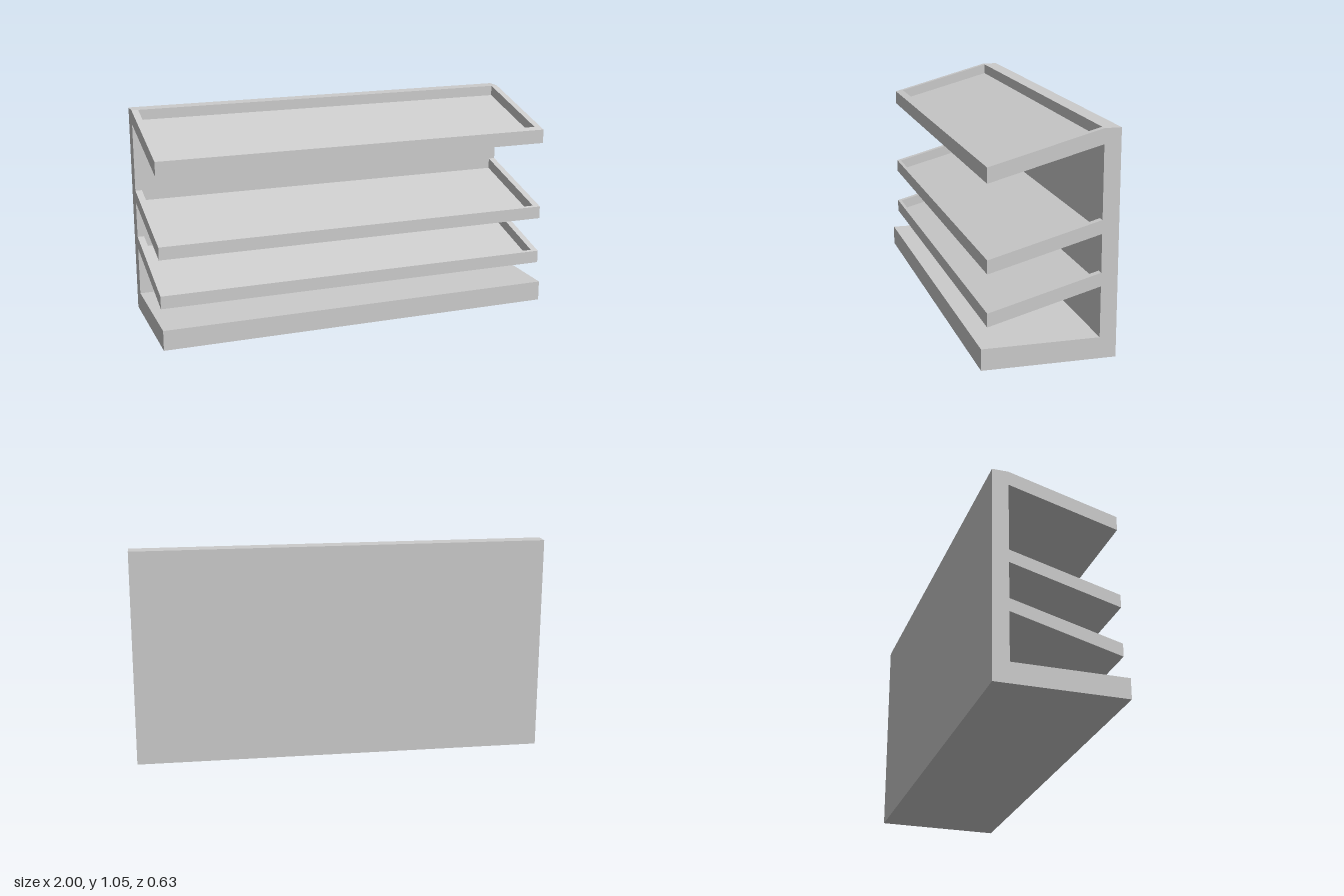
import * as THREE from 'three';

const material = new THREE.MeshStandardMaterial({ color: 0xcccccc, flatShading: true });
const BACK = -0.235;   // front face of the back panel
const FRONT = 0.285;   // front edge of the shelves
const SLOPE = 0.27;
const RIM_X = 0.967;   // inner side of the shelf rims

// Extrudes a side profile of [z, y] points from x0 to x1.
function extrudeProfile(name, points, x0, x1) {
  const shape = new THREE.Shape(points.map(([z, y]) => new THREE.Vector2(-z, y)));
  const geometry = new THREE.ExtrudeGeometry(shape, { depth: x1 - x0, bevelEnabled: false });
  geometry.rotateY(Math.PI / 2).translate(x0, 0, 0);
  const mesh = new THREE.Mesh(geometry, material);
  mesh.name = name;
  return mesh;
}

// Sloping tray: floor with a front lip, closed by a rim on each side.
function createShelf(name, top, thickness, depth, lipZ) {
  const shelf = new THREE.Group();
  shelf.name = name;
  const y = (z, drop = 0) => top - drop - SLOPE * (z - BACK);
  const floorZ = lipZ - SLOPE * depth;   // the lip stands square to the floor

  shelf.add(extrudeProfile('trayFloor', [
    [BACK, y(BACK, thickness)],
    [FRONT, y(FRONT, thickness)],
    [FRONT, y(FRONT)],
    [lipZ, y(lipZ)],
    [floorZ, y(floorZ, depth)],
    [BACK, y(BACK, depth)],
  ], -RIM_X, RIM_X));

  const rim = [
    [BACK, y(BACK, thickness)],
    [FRONT, y(FRONT, thickness)],
    [FRONT, y(FRONT)],
    [BACK, y(BACK)],
  ];
  shelf.add(extrudeProfile('leftRim', rim, RIM_X, 1));
  shelf.add(extrudeProfile('rightRim', rim, -1, -RIM_X));
  return shelf;
}

export function createModel() {
  const model = new THREE.Group();
  model.name = 'tieredDisplayRack';

  // L-shaped base and back panel
  model.add(extrudeProfile('baseAndBack', [
    [-0.313, 0], [0.313, 0], [0.313, 0.1],
    [BACK, 0.1], [BACK, 1.05], [-0.313, 1.05],
  ], -1, 1));

  // Shelves: top height at the back, thickness, tray depth, lip position
  model.add(createShelf('topShelf', 1.05, 0.07, 0.051, 0.25));
  model.add(createShelf('middleShelf', 0.643, 0.063, 0.053, 0.27));
  model.add(createShelf('lowerShelf', 0.402, 0.063, 0.053, 0.27));
  return model;
}
